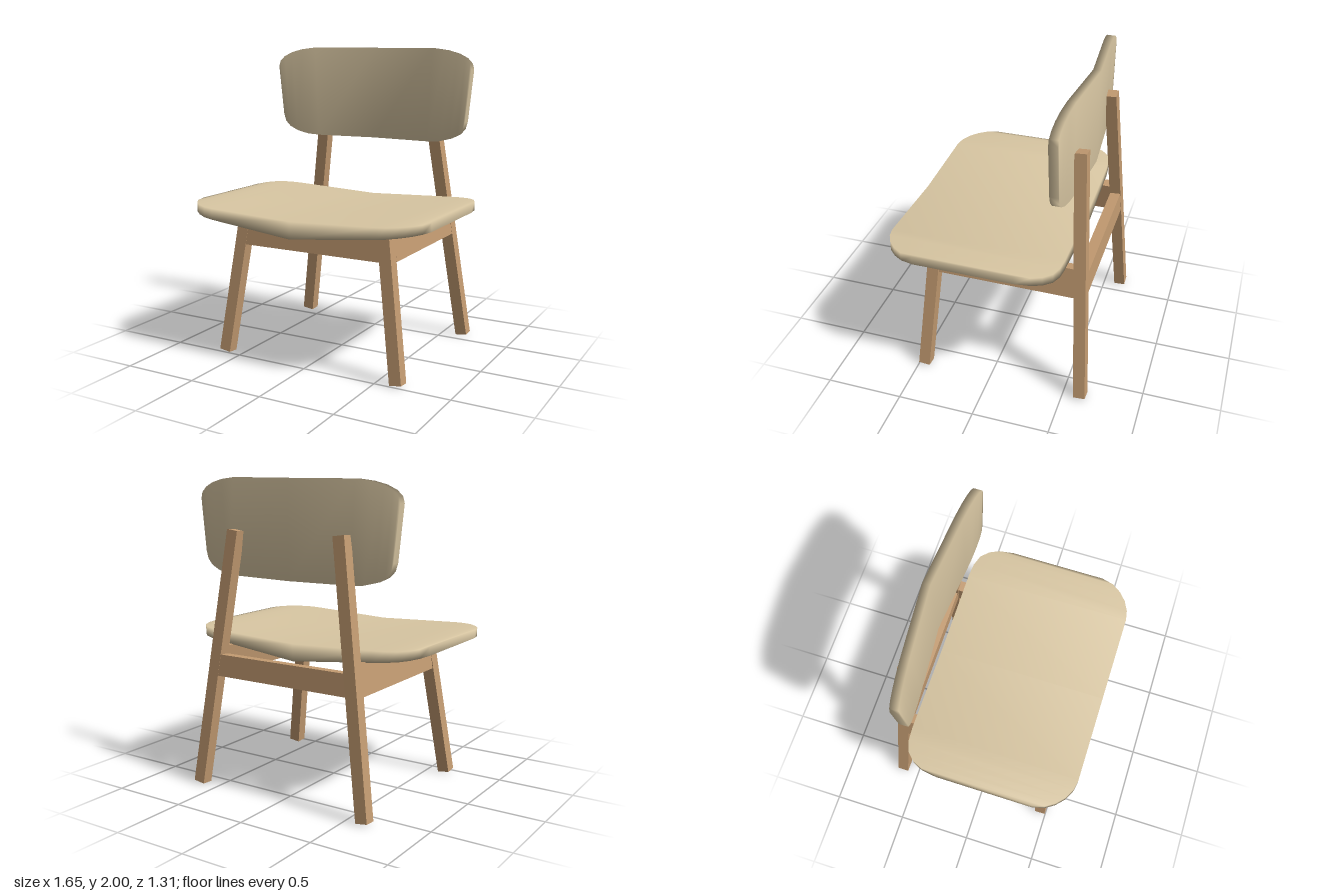
import * as THREE from 'three';

const wood = new THREE.MeshStandardMaterial({ color: 0xc49c72 });
const fabric = new THREE.MeshStandardMaterial({ color: 0xd9c7a3 });

// Padded panel lofted along x, folded into a shallow V at x = 0.
// corners: [xLow, low, xHigh, high] from the middle outwards; base / top give the two faces at t = |x| / half width.
function foldedPanel(corners, halfWidth, base, top) {
  const mirrored = corners.slice(1).reverse().map(([a, l, b, h]) => [-a, l, -b, h]);
  const stations = [...mirrored, ...corners];
  const pos = [], idx = [];
  stations.forEach(([xl, lo, xh, hi], i) => {
    const tl = Math.abs(xl) / halfWidth, th = Math.abs(xh) / halfWidth;
    pos.push(xl, lo, base(tl), xh, hi, base(th), xh, hi, top(th), xl, lo, top(tl));
    if (i === 0) return;
    for (let j = 0; j < 4; j++) {
      const a = (i - 1) * 4 + j, b = (i - 1) * 4 + (j + 1) % 4;
      idx.push(a, b, a + 4, b, b + 4, a + 4);
    }
  });
  const e = (stations.length - 1) * 4;
  idx.push(0, 2, 1, 0, 3, 2, e, e + 1, e + 2, e, e + 2, e + 3);
  const g = new THREE.BufferGeometry();
  g.setAttribute('position', new THREE.Float32BufferAttribute(pos, 3));
  g.setIndex(idx);
  g.computeVertexNormals();
  return g;
}

function addMesh(parent, name, geometry, material) {
  const mesh = new THREE.Mesh(geometry, material);
  mesh.name = name;
  parent.add(mesh);
  return mesh;
}

// Square bar running from point a up to point b
function addLeg(parent, name, a, b) {
  const from = new THREE.Vector3(...a), to = new THREE.Vector3(...b);
  const dir = to.clone().sub(from);
  const leg = addMesh(parent, name, new THREE.BoxGeometry(0.08, dir.length(), 0.076), wood);
  leg.position.copy(from).add(to).multiplyScalar(0.5);
  leg.quaternion.setFromUnitVectors(new THREE.Vector3(0, 1, 0), dir.normalize());
}

export function createModel() {
  const chair = new THREE.Group();
  chair.name = 'chair';

  // Seat: outline drawn upright (back edge high), then laid flat
  const seat = foldedPanel([
    [0, -0.655, 0, 0.465],
    [0.58, -0.655, 0.57, 0.465],
    [0.645, -0.643, 0.66, 0.458],
    [0.71, -0.61, 0.73, 0.435],
    [0.765, -0.56, 0.78, 0.385],
    [0.805, -0.5, 0.81, 0.32],
    [0.825, -0.42, 0.825, 0.22],
  ], 0.825, t => 0.875 + 0.09 * t, t => 0.985 + 0.035 * t);
  addMesh(chair, 'seat', seat.rotateX(-Math.PI / 2), fabric);

  // Backrest
  const back = foldedPanel([
    [0, 1.382, 0, 2],
    [0.42, 1.382, 0.45, 2],
    [0.51, 1.388, 0.55, 1.988],
    [0.59, 1.408, 0.63, 1.967],
    [0.65, 1.437, 0.69, 1.938],
    [0.685, 1.475, 0.725, 1.903],
    [0.7, 1.525, 0.735, 1.865],
  ], 0.735, t => -0.505 + 0.06 * t, t => -0.455 + 0.065 * t);
  addMesh(chair, 'backrest', back, fabric);

  // Wooden frame, sitting very slightly to the left
  const frame = new THREE.Group();
  frame.name = 'frame';
  frame.position.x = 0.01;
  chair.add(frame);

  for (const [side, s] of [['left', 1], ['right', -1]]) {
    addLeg(frame, side + 'FrontLeg', [s * 0.63, 0.009, 0.46], [s * 0.5, 0.932, 0.384]);
    addLeg(frame, side + 'BackLeg', [s * 0.63, 0.009, -0.615], [s * 0.395, 1.675, -0.502]);
    // Side rail leans with the legs
    const rail = addMesh(frame, side + 'Rail', new THREE.BoxGeometry(0.07, 0.2, 0.89), wood);
    rail.position.set(s * 0.517, 0.834, -0.09);
    rail.rotation.z = s * 0.14;
  }

  // Cross rails between the leg pairs
  for (const [name, z, tilt] of [['frontRail', 0.395, -0.08], ['backRail', -0.562, 0.07]]) {
    const rail = addMesh(frame, name, new THREE.BoxGeometry(0.99, 0.14, 0.07), wood);
    rail.position.set(0, 0.811, z);
    rail.rotation.x = tilt;
  }
  return chair;
}
